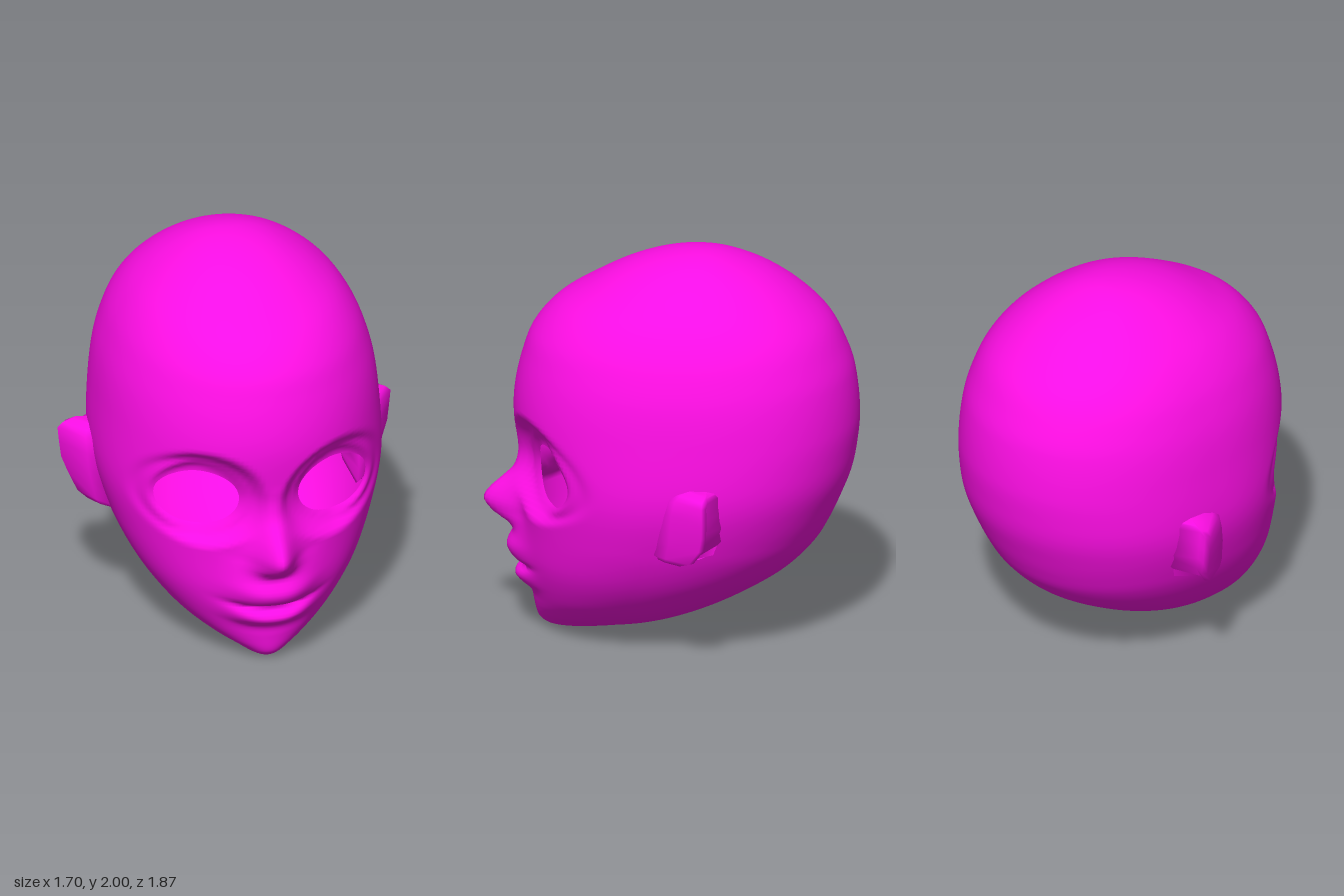
import * as THREE from 'three';

const ROWS = 150, COLS = 200;
const EYE = { x: 0.345, y: 0.895, rx: 0.195, ry: 0.148 };

// Smooth curve through [key, value] pairs (cubic Hermite)
function curve(pairs, key = (v) => v) {
  const k = pairs.map((p) => key(p[0])), v = pairs.map((p) => p[1]), n = k.length;
  const slope = (i) => {
    const a = Math.max(0, i - 1), b = Math.min(n - 1, i + 1);
    return (v[b] - v[a]) / (k[b] - k[a]);
  };
  return (at) => {
    const s = key(at);
    if (s <= k[0]) return v[0];
    if (s >= k[n - 1]) return v[n - 1];
    let i = 0;
    while (s > k[i + 1]) i++;
    const h = k[i + 1] - k[i], u = (s - k[i]) / h, u2 = u * u, u3 = u2 * u;
    return (2 * u3 - 3 * u2 + 1) * v[i] + (u3 - 2 * u2 + u) * h * slope(i)
      + (3 * u2 - 2 * u3) * v[i + 1] + (u3 - u2) * h * slope(i + 1);
  };
}
// Heights become angles so that crown and chin round off cleanly
const polar = (y) => Math.acos(THREE.MathUtils.clamp(1 - y, -1, 1));

// Skull outlines by height: half width, front, back and the depth of the widest point
const halfWidth = curve([[0, 0], [0.05, 0.15], [0.1, 0.25], [0.19, 0.375], [0.28, 0.46], [0.39, 0.54], [0.5, 0.6],
  [0.61, 0.645], [0.8, 0.7], [0.95, 0.715], [1.2, 0.7], [1.36, 0.68], [1.48, 0.65], [1.61, 0.6], [1.74, 0.515],
  [1.84, 0.41], [1.92, 0.29], [1.98, 0.15], [2, 0]], polar);
const front = curve([[0, 0.57], [0.02, 0.635], [0.05, 0.665], [0.13, 0.685], [0.2, 0.695], [0.4, 0.735], [0.6, 0.74],
  [0.9, 0.755], [1, 0.77], [1.17, 0.785], [1.3, 0.775], [1.45, 0.74], [1.58, 0.69], [1.71, 0.58], [1.82, 0.41],
  [1.92, 0.22], [1.98, 0.03], [2, -0.15]], polar);
const back = curve([[0, 0.57], [0.015, 0.39], [0.05, 0.165], [0.1, -0.03], [0.18, -0.23], [0.28, -0.42], [0.4, -0.6],
  [0.53, -0.725], [0.64, -0.79], [0.75, -0.84], [0.88, -0.89], [1, -0.915], [1.17, -0.93], [1.4, -0.905],
  [1.53, -0.86], [1.66, -0.79], [1.78, -0.67], [1.89, -0.51], [1.97, -0.32], [2, -0.15]], polar);
const middle = curve([[0, 0.57], [0.05, 0.4], [0.1, 0.31], [0.2, 0.22], [0.4, 0.11], [0.6, 0.03], [1, -0.05],
  [1.5, -0.08], [2, -0.15]], polar);

// Face relief along the centre line
const nose = curve([[0.5, 0], [0.53, 0.04], [0.57, 0.13], [0.61, 0.185], [0.65, 0.198], [0.7, 0.165], [0.76, 0.1],
  [0.82, 0.04], [0.9, 0.012], [1, 0]]);
const noseWidth = curve([[0.5, 0.1], [0.6, 0.1], [0.7, 0.085], [0.8, 0.065], [1, 0.06]]);
const lips = curve([[0.14, 0], [0.21, 0.008], [0.245, 0.05], [0.275, 0.068], [0.305, 0.045], [0.33, 0.0],
  [0.36, 0.055], [0.42, 0.085], [0.48, 0.06], [0.54, 0.03], [0.6, 0]]);

const eyeRadius = (x, y) => Math.hypot((Math.abs(x) - EYE.x) / EYE.rx, (y - EYE.y) / EYE.ry);

function relief(x, y) {
  const bump = (v, s, p = 2) => Math.exp(-Math.pow(Math.abs(v) / s, p));
  // Eye socket, taller under the brow, with a raised lid around the opening
  const up = y > EYE.y ? 0.82 : 1;
  const r = Math.hypot((Math.abs(x) - EYE.x) / EYE.rx, (y - EYE.y) * up / EYE.ry);
  const outer = THREE.MathUtils.smoothstep(Math.abs(x), 0.32, 0.56);
  const socket = -(0.11 - 0.06 * outer) * (1 - THREE.MathUtils.smoothstep(r, 1.12, 1.65));
  const lid = 0.028 * bump(r - 1.17, 0.13);
  const mouthY = y - 0.5 * x * x;
  return socket + lid + nose(y) * bump(x, noseWidth(y)) + lips(mouthY) * bump(x, 0.2, 3);
}

// Point on the head: x and y given, front or back half chosen by the sign of c
function depth(x, y, c) {
  const m = middle(y);
  if (c < 0) return m + (back(y) - m) * Math.pow(-c, 0.88);
  return m + (front(y) - m) * Math.pow(c, 0.95) + relief(x, y) * THREE.MathUtils.smoothstep(c, 0, 0.45);
}

function headGeometry() {
  const pos = [], inside = [], index = [];
  for (let j = 0; j <= ROWS; j++) {
    for (let i = 0; i < COLS; i++) {
      const t = i / COLS * Math.PI * 2;
      let y = 1 - Math.cos(j / ROWS * Math.PI), c = Math.cos(t);
      let x = halfWidth(y) * Math.sin(t);
      const r = eyeRadius(x, y), hole = c > 0 && r < 1;
      if (hole) {
        // Push points inside the eye opening out to its rim
        const cx = Math.sign(x) * EYE.x, k = 1 / Math.max(r, 0.01);
        x = cx + (x - cx) * k;
        y = EYE.y + (y - EYE.y) * k;
        c = Math.sqrt(Math.max(0, 1 - (x / halfWidth(y)) ** 2));
      }
      inside.push(hole);
      pos.push(x, y, depth(x, y, c));
    }
  }
  const tri = (...f) => { if (!f.every((v) => inside[v])) index.push(...f); };
  for (let j = 0; j < ROWS; j++) {
    for (let i = 0; i < COLS; i++) {
      const n = (i + 1) % COLS, a = j * COLS + i, b = j * COLS + n;
      if (j > 0) tri(a, b, b + COLS);
      if (j < ROWS - 1) tri(a, b + COLS, a + COLS);
    }
  }
  return meshData(pos, index);
}

function meshData(pos, index) {
  const g = new THREE.BufferGeometry();
  g.setAttribute('position', new THREE.Float32BufferAttribute(pos, 3));
  g.setIndex(index);
  g.computeVertexNormals();
  return g;
}

// Ear flap: sections stacked by height, slanting out from the cheek to a rear rim
function earGeometry(side) {
  const sections = [ // y, rim x, rim z, front root z
    [0.595, 0.725, -0.14, 0.02], [0.62, 0.765, -0.19, 0.06], [0.7, 0.8, -0.245, 0.08], [0.78, 0.83, -0.262, 0.08],
    [0.86, 0.84, -0.265, 0.07], [0.94, 0.848, -0.265, 0.03], [0.965, 0.82, -0.265, -0.02], [0.985, 0.77, -0.255, -0.1],
  ];
  const pos = [], index = [], N = 6;
  for (const [y, x, z, root] of sections) {
    const ring = [[0.6, root], [(0.66 + x) / 2 - 0.012, (root + z) / 2], [x, z], [x - 0.02, z - 0.022],
      [x - 0.07, z - 0.008], [0.6, z - 0.11]];
    for (const [px, pz] of ring) pos.push(px * side, y, pz);
  }
  const tri = (a, b, c) => (side > 0 ? index.push(a, b, c) : index.push(a, c, b));
  for (let j = 0; j < sections.length - 1; j++) {
    for (let i = 0; i < N; i++) {
      const a = j * N + i, b = j * N + (i + 1) % N;
      tri(a, a + N, b + N);
      tri(a, b + N, b);
    }
  }
  const top = (sections.length - 1) * N;
  for (let i = 1; i < N - 1; i++) {
    tri(0, i, i + 1);
    tri(top, top + i + 1, top + i);
  }
  // Ring order runs from front to rear, so turn the faces outward
  for (let i = 0; i < index.length; i += 3) [index[i + 1], index[i + 2]] = orient(pos, index, i, side);
  return meshData(pos, index);
}

// Orders a face so that it points away from the ear's core
function orient(pos, index, i, side) {
  const [a, b, c] = [0, 1, 2].map((k) => new THREE.Vector3().fromArray(pos, index[i + k] * 3));
  const core = new THREE.Vector3(0.7 * side, (a.y + b.y + c.y) / 3, -0.17);
  if (a.y === b.y && b.y === c.y) core.y = 0.8;
  const normal = b.clone().sub(a).cross(c.clone().sub(a));
  const out = a.clone().add(b).add(c).divideScalar(3).sub(core);
  return normal.dot(out) < 0 ? [index[i + 2], index[i + 1]] : [index[i + 1], index[i + 2]];
}

export function createModel() {
  const group = new THREE.Group();
  group.name = 'dollHead';
  const skin = new THREE.MeshStandardMaterial({ color: 0xff0ee6, side: THREE.DoubleSide });
  const add = (name, geometry) => {
    const mesh = new THREE.Mesh(geometry, skin);
    mesh.name = name;
    group.add(mesh);
  };
  add('head', headGeometry());
  add('leftEar', earGeometry(1));
  add('rightEar', earGeometry(-1));
  return group;
}
